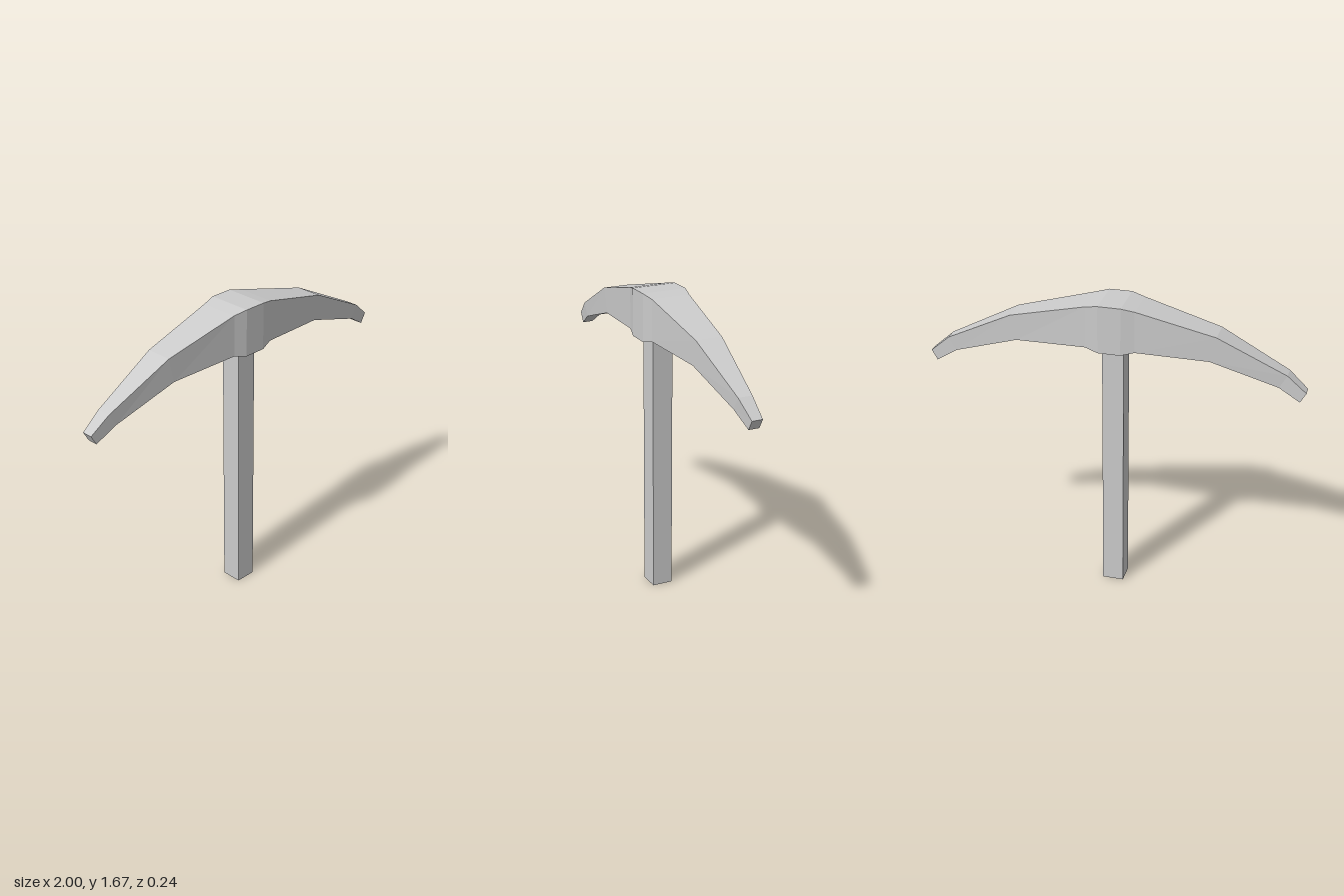
import * as THREE from 'three';

const material = new THREE.MeshStandardMaterial({ color: 0xcccccc, flatShading: true });

// Half of the head: [top x, top y, bottom x, bottom y, front z, back z]
const half = [
  [0.06, 1.67, 0.06, 1.415, 0.12, -0.122],
  [0.13, 1.655, 0.13, 1.433, 0.102, -0.108],
  [0.54, 1.55, 0.51, 1.415, 0.068, -0.075],
  [0.9, 1.37, 0.86, 1.3, 0.035, -0.042],
  [1.0, 1.285, 0.97, 1.232, 0.016, -0.042],
];

function headGeometry() {
  const mirrored = half.map(([tx, ty, bx, by, f, b]) => [-tx, ty, -bx, by, f, b]).reverse();
  // Each cross-section: front top, back top, back bottom, front bottom
  const rings = [...mirrored, ...half].map(([tx, ty, bx, by, f, b]) => [
    [tx, ty, f], [tx, ty, b], [bx, by, b], [bx, by, f],
  ]);
  const positions = [];
  const quad = (a, b, c, d) => positions.push(...a, ...b, ...c, ...a, ...c, ...d);

  for (let i = 0; i < rings.length - 1; i++) {
    const p = rings[i], q = rings[i + 1];
    for (let k = 0; k < 4; k++) {
      const n = (k + 1) % 4;
      quad(p[k], q[k], q[n], p[n]);
    }
  }
  // Blunt tips
  quad(...rings[0]);
  quad(...[...rings[rings.length - 1]].reverse());

  const geometry = new THREE.BufferGeometry();
  geometry.setAttribute('position', new THREE.Float32BufferAttribute(positions, 3));
  geometry.computeVertexNormals();
  return geometry;
}

export function createModel() {
  const model = new THREE.Group();
  model.name = 'pickaxe';

  // Curved double-ended head
  const head = new THREE.Mesh(headGeometry(), material);
  head.name = 'head';

  // Square handle, its top set into the underside of the head
  const height = 1.43;
  const handle = new THREE.Mesh(new THREE.BoxGeometry(0.114, height, 0.112), material);
  handle.name = 'handle';
  handle.position.set(-0.002, height / 2, 0.005);

  model.add(head, handle);
  return model;
}
